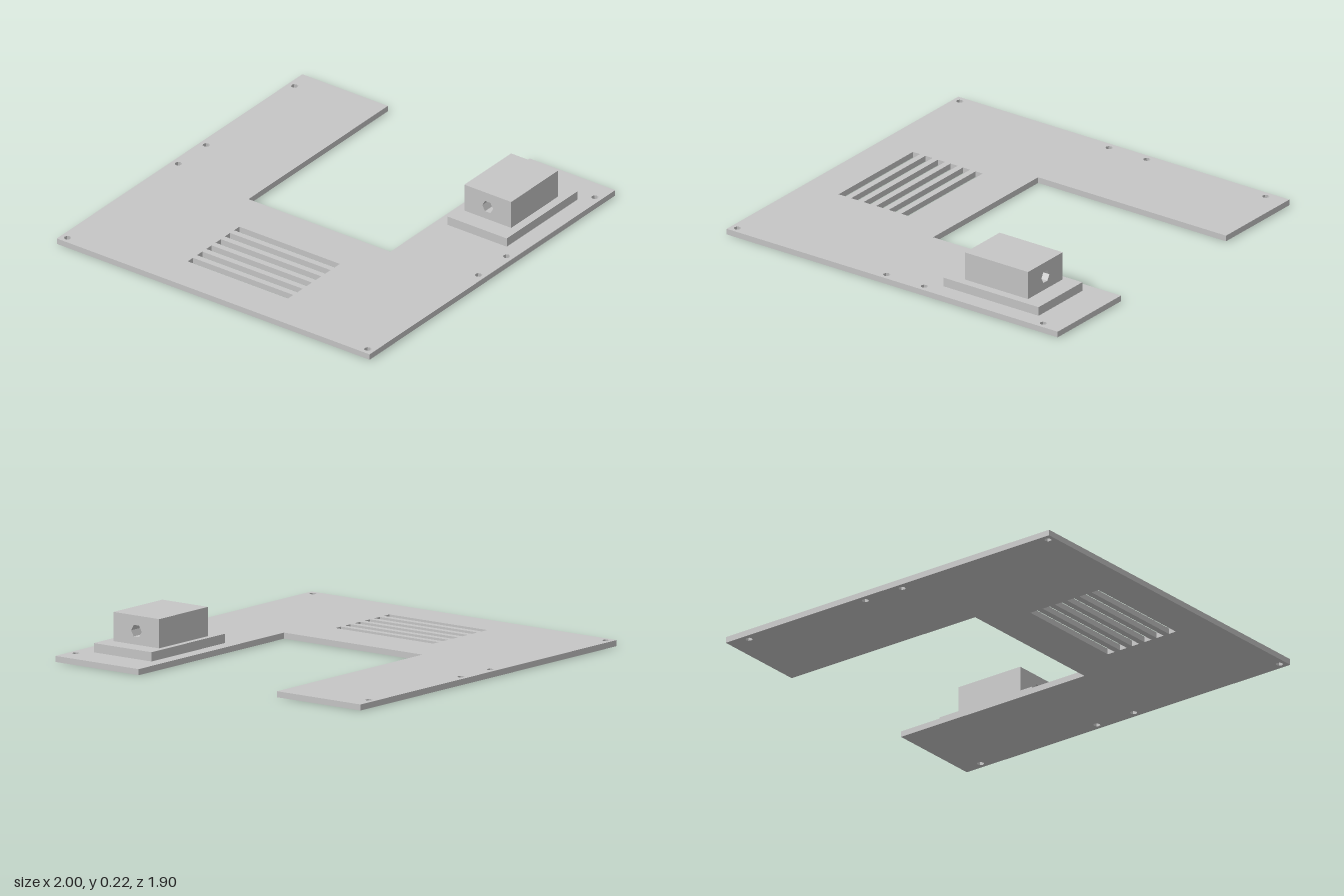
import * as THREE from 'three';

const polygon = (points) => new THREE.Shape(points.map(([x, y]) => new THREE.Vector2(x, y)));

// Regular polygonal hole outline
function roundHole(cx, cy, r, sides) {
  const pts = [];
  for (let i = 0; i < sides; i++) {
    const a = (i / sides) * Math.PI * 2;
    pts.push(new THREE.Vector2(cx + r * Math.cos(a), cy + r * Math.sin(a)));
  }
  return new THREE.Path(pts);
}

export function createModel() {
  const group = new THREE.Group();
  const grey = new THREE.MeshStandardMaterial({ color: 0xc6c6c6 });
  grey.name = 'lightGrey';

  const add = (name, geometry) => {
    const mesh = new THREE.Mesh(geometry, grey);
    mesh.name = name;
    group.add(mesh);
    return mesh;
  };

  // C-shaped plate outline
  const plate = polygon([
    [-1, -0.948], [1, -0.948], [1, -0.43], [-0.135, -0.43],
    [-0.135, 0.43], [1, 0.43], [1, 0.948], [-1, 0.948],
  ]);

  // Screw holes along the front and back edges
  for (const x of [-0.963, -0.061, 0.167, 0.886]) {
    for (const z of [-0.91, 0.91]) plate.holes.push(roundHole(x, z, 0.018, 8));
  }

  // Row of ventilation slots
  for (let i = 0; i < 6; i++) {
    const x = -0.799 + i * 0.0757;
    plate.holes.push(polygon([[x, -0.304], [x, 0.304], [x + 0.043, 0.304], [x + 0.043, -0.304]]));
  }
  add('plate', new THREE.ExtrudeGeometry(plate, { depth: 0.03, bevelEnabled: false }).rotateX(-Math.PI / 2));

  // Raised pedestal under the block
  add('pedestal', new THREE.BoxGeometry(0.574, 0.046, 0.358)).position.set(0.529, 0.053, 0.676);

  // Block with a hexagonal bore running from side to side
  const block = polygon([[-0.81, 0.076], [-0.526, 0.076], [-0.526, 0.221], [-0.81, 0.221]]);
  block.holes.push(roundHole(-0.668, 0.144, 0.033, 6));
  add('boredBlock', new THREE.ExtrudeGeometry(block, { depth: 0.381, bevelEnabled: false }).rotateY(Math.PI / 2))
    .position.x = 0.338;

  return group;
}
